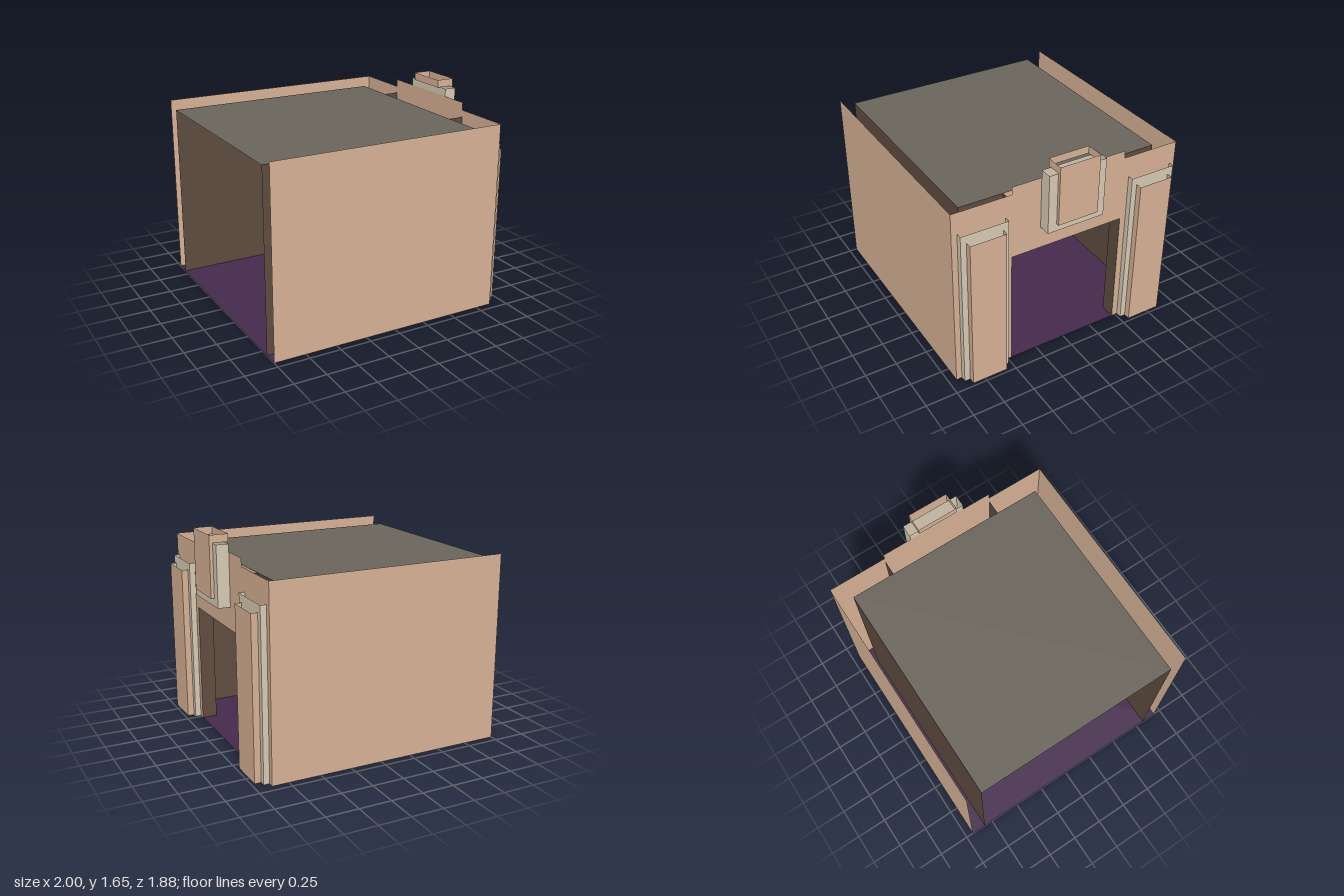
import * as THREE from 'three';

const material = (color) => new THREE.MeshStandardMaterial({ color, side: THREE.DoubleSide, flatShading: true });
const plaster = material(0xd8b296);
const trim = material(0xd8cbb5);
const lining = material(0x5f4c3f);
const roofing = material(0x69645c);
const flooring = material(0x452a4d);

export function createModel() {
  const model = new THREE.Group();

  const add = (name, geometry, mat) => {
    const mesh = new THREE.Mesh(geometry, mat);
    mesh.name = name;
    model.add(mesh);
  };

  // Upright thin sheet that follows a path of [x, z] points
  const ribbon = (name, path, y0, y1, mat) => {
    const position = [];
    for (let i = 0; i < path.length - 1; i++) {
      const [ax, az] = path[i], [bx, bz] = path[i + 1];
      position.push(ax, y0, az, bx, y0, bz, bx, y1, bz, ax, y0, az, bx, y1, bz, ax, y1, az);
    }
    const geometry = new THREE.BufferGeometry();
    geometry.setAttribute('position', new THREE.Float32BufferAttribute(position, 3));
    geometry.computeVertexNormals();
    add(name, geometry, mat);
  };

  // Level thin sheet, centred on z = 0
  const slab = (name, x0, x1, halfZ, y, mat) => {
    const geometry = new THREE.PlaneGeometry(x1 - x0, halfZ * 2);
    geometry.rotateX(-Math.PI / 2).translate((x0 + x1) / 2, y, 0);
    add(name, geometry, mat);
  };

  // Floor and sunken roof
  slab('floor', -1, 0.88, 0.94, 0, flooring);
  slab('roof', -1, 0.76, 0.82, 1.415, roofing);

  // Entrance wall with doorway and raised parapet
  const outline = [
    [-0.94, 0], [-0.47, 0], [-0.47, 0.945], [0.47, 0.945], [0.47, 0], [0.94, 0],
    [0.94, 1.47], [0.47, 1.47], [0.47, 1.53], [-0.47, 1.53], [-0.47, 1.47], [-0.94, 1.47],
  ];
  const facade = new THREE.Shape(outline.map(([z, y]) => new THREE.Vector2(z, y)));
  add('entranceWall', new THREE.ShapeGeometry(facade).rotateY(Math.PI / 2).translate(0.88, 0, 0), plaster);

  // Recessed panel above the doorway
  ribbon('lintelPanel', [[0.76, 0.47], [0.76, -0.47]], 0.945, 1.415, plaster);

  for (const s of [1, -1]) {
    // Outer side wall, then inner lining turning into the door jamb
    ribbon('sideWall', [[-1, s * 0.94], [0.88, s * 0.94]], 0, 1.47, plaster);
    ribbon('innerWall', [[-1, s * 0.82], [0.76, s * 0.82], [0.76, s * 0.47], [0.88, s * 0.47]], 0, 1.415, lining);

    // Layered pilaster beside the doorway
    ribbon('pilasterTrim', [[0.88, s * 0.895], [0.925, s * 0.895], [0.925, s * 0.52], [0.88, s * 0.52]], 0, 1.3, trim);
    ribbon('pilaster', [[0.925, s * 0.85], [0.975, s * 0.85], [0.975, s * 0.565], [0.925, s * 0.565]], 0, 1.24, plaster);
  }

  // Keystone: trim block with a closed underside
  ribbon('keystoneTrim', [[0.88, 0.235], [0.975, 0.235], [0.975, -0.235], [0.88, -0.235]], 1.12, 1.59, trim);
  ribbon('keystoneTrimBack', [[0.88, 0.235], [0.88, -0.235]], 1.53, 1.59, trim);
  slab('keystoneBase', 0.88, 0.975, 0.235, 1.12, roofing);

  // Keystone: front plate and the collar that wraps over the top
  ribbon('keystonePlate', [[0.975, 0.165], [1, 0.165], [1, -0.165], [0.975, -0.165]], 1.18, 1.59, plaster);
  ribbon('keystoneCollar',
    [[0.855, 0.165], [1, 0.165], [1, -0.165], [0.855, -0.165], [0.855, 0.165]], 1.59, 1.65, plaster);

  return model;
}
